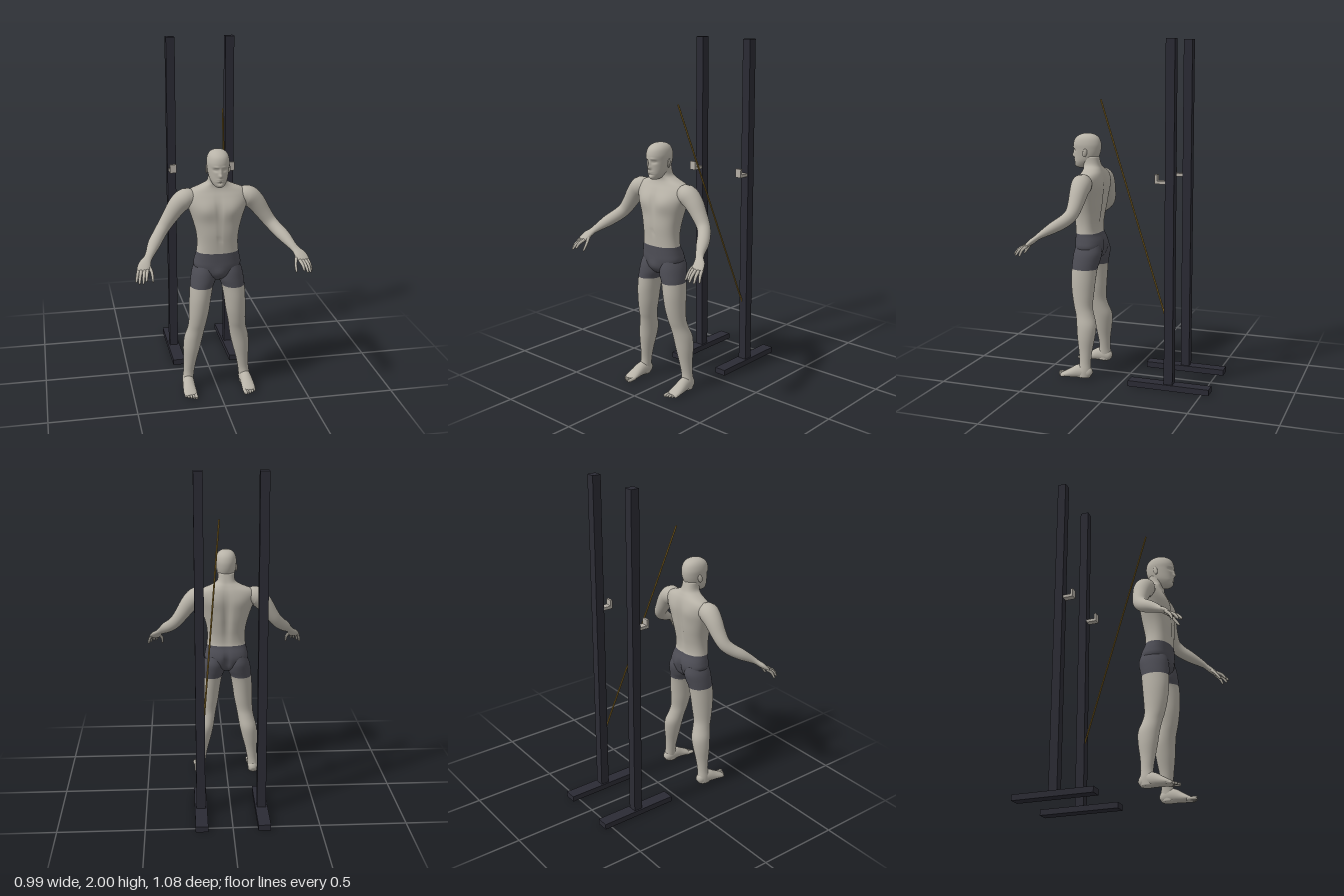
import * as THREE from 'three';

const mat = (name, color) => Object.assign(new THREE.MeshStandardMaterial({ color }), { name });
const V = (x, y, z) => new THREE.Vector3(x, y, z);

// Smooth in-between rows for a list of key rows
function smoothRows(keys, steps) {
  const rows = [];
  const last = keys.length - 1;
  for (let i = 0; i < last; i++) {
    const a = keys[Math.max(i - 1, 0)], b = keys[i], c = keys[i + 1], d = keys[Math.min(i + 2, last)];
    for (let s = 0; s < steps; s++) {
      const t = s / steps;
      rows.push(b.map((v, k) => {
        const cubic = 3 * (v - c[k]) + d[k] - a[k];
        const square = 2 * a[k] - 5 * v + 4 * c[k] - d[k];
        return v + 0.5 * t * (c[k] - a[k] + t * (square + t * cubic));
      }));
    }
  }
  rows.push(keys[last]);
  return rows;
}

// Closed skin over rings of points, capped at both ends
function skin(rings) {
  const n = rings[0].length, pos = [], index = [];
  rings.forEach(r => r.forEach(p => pos.push(p.x, p.y, p.z)));
  const ends = [rings[0], rings[rings.length - 1]].map(r => {
    const c = r.reduce((s, p) => s.add(p), V(0, 0, 0)).divideScalar(n);
    pos.push(c.x, c.y, c.z);
    return pos.length / 3 - 1;
  });
  const top = (rings.length - 1) * n;
  for (let j = 0; j < n; j++) index.push(ends[0], (j + 1) % n, j);
  for (let i = 0; i < rings.length - 1; i++) {
    for (let j = 0; j < n; j++) {
      const a = i * n + j, b = i * n + (j + 1) % n;
      index.push(a, b, a + n, b, b + n, a + n);
    }
  }
  for (let j = 0; j < n; j++) index.push(ends[1], top + j, top + (j + 1) % n);
  const g = new THREE.BufferGeometry();
  g.setAttribute('position', new THREE.Float32BufferAttribute(pos, 3));
  g.setIndex(index);
  g.computeVertexNormals();
  return g;
}

// Level cross-sections, rising: [y, xMin, xMax, zBack, zFront]
function stack(keys, sides, power = 2, steps = 4) {
  const f = v => Math.sign(v) * Math.abs(v) ** (2 / power);
  return skin(smoothRows(keys, steps).map(([y, x0, x1, z0, z1]) =>
    Array.from({ length: sides }, (_, j) => {
      const t = j / sides * Math.PI * 2;
      return V((x0 + x1) / 2 + f(Math.sin(t)) * (x1 - x0) / 2, y, (z0 + z1) / 2 + f(Math.cos(t)) * (z1 - z0) / 2);
    })));
}

// Limb along a path: [x, y, z, thickness, width], the width lying along wide
function limb(keys, wide, sides = 20) {
  const rows = smoothRows(keys, 4);
  const at = i => V(...rows[Math.min(Math.max(i, 0), rows.length - 1)].slice(0, 3));
  return skin(rows.map((r, i) => {
    const t = at(i + 1).sub(at(i - 1)).normalize();
    const v = wide.clone().addScaledVector(t, -wide.dot(t)).normalize();
    const u = t.clone().cross(v);
    return Array.from({ length: sides }, (_, j) => {
      const a = j / sides * Math.PI * 2;
      return at(i).addScaledVector(v, Math.cos(a) * r[4]).addScaledVector(u, Math.sin(a) * r[3]);
    });
  }));
}

// Soft swellings and hollows: [x, y, side (+1 front, -1 back), rx, ry, amount]
function sculpt(g, bumps, midZ) {
  const p = g.attributes.position;
  for (let i = 0; i < p.count; i++) {
    const x = Math.abs(p.getX(i)), y = p.getY(i), z0 = p.getZ(i);
    let z = z0;
    for (const [bx, by, side, rx, ry, amount] of bumps) {
      const weight = Math.min(Math.max(side * (z0 - midZ) / 0.04, 0), 1);
      const dx = (x - bx) / rx, dy = (y - by) / ry;
      z += side * weight * amount * Math.exp(-dx * dx - dy * dy);
    }
    p.setZ(i, z);
  }
  g.computeVertexNormals();
  return g;
}

function mirrored(g) {
  const m = g.clone(), p = m.attributes.position, ix = m.index;
  for (let i = 0; i < p.count; i++) p.setX(i, -p.getX(i));
  for (let i = 0; i < ix.count; i += 3) {
    const a = ix.getX(i);
    ix.setX(i, ix.getX(i + 1));
    ix.setX(i + 1, a);
  }
  m.computeVertexNormals();
  return m;
}

// Second material on the triangles between two heights
function paint(g, y0, y1) {
  const p = g.attributes.position, ix = g.index;
  for (let i = 0; i < ix.count; i += 3) {
    const y = (p.getY(ix.getX(i)) + p.getY(ix.getX(i + 1)) + p.getY(ix.getX(i + 2))) / 3;
    const m = y > y0 && y < y1 ? 1 : 0;
    const last = g.groups[g.groups.length - 1];
    if (last && last.materialIndex === m) last.count += 3;
    else g.addGroup(i, 3, m);
  }
  return g;
}

export function createModel() {
  const model = new THREE.Group();
  const skinMat = mat('skin', 0xb8b3a8), shortsMat = mat('shorts', 0x4d4d55);
  const rackMat = mat('rack', 0x2b2b34), hookMat = mat('hook', 0xb5afa6), stickMat = mat('stick', 0x97762c);
  const add = (name, g, m, parent = model) => {
    const mesh = new THREE.Mesh(g, m);
    mesh.name = name;
    parent.add(mesh);
    return mesh;
  };
  const pair = (name, g, m) => {
    add('left' + name, g, m);
    add('right' + name, mirrored(g), m);
  };
  const body = [skinMat, shortsMat];
  const centred = ([y, w, back, front]) => [y, -w, w, back, front];

  // Torso and neck
  const torso = [
    [0.70, 0.04, 0.20, 0.30], [0.73, 0.105, 0.172, 0.322], [0.78, 0.134, 0.157, 0.332], [0.82, 0.130, 0.163, 0.332],
    [0.865, 0.120, 0.183, 0.331], [0.92, 0.116, 0.183, 0.333], [0.98, 0.122, 0.173, 0.336], [1.04, 0.137, 0.163, 0.334],
    [1.10, 0.157, 0.157, 0.332], [1.15, 0.175, 0.155, 0.322], [1.19, 0.178, 0.158, 0.305], [1.22, 0.152, 0.165, 0.290],
    [1.245, 0.092, 0.176, 0.284], [1.27, 0.055, 0.188, 0.29], [1.32, 0.05, 0.20, 0.30],
  ].map(centred);
  add('torso', paint(sculpt(stack(torso, 72, 2.3), [
    [0.075, 1.12, 1, 0.055, 0.05, 0.012], [0, 1.12, 1, 0.012, 0.06, -0.008], [0, 0.945, 1, 0.008, 0.008, -0.006],
    [0, 0.98, 1, 0.01, 0.08, -0.004], [0, 1.05, -1, 0.022, 0.15, -0.016], [0.08, 1.15, -1, 0.05, 0.05, 0.006],
    [0, 0.76, -1, 0.014, 0.05, -0.022], [0, 0.745, 1, 0.035, 0.03, 0.012],
  ], 0.245), 0.5, 0.865), body);

  // Legs
  pair('Leg', paint(stack([
    [0.01, 0.140, 0.203, 0.195, 0.28], [0.05, 0.138, 0.204, 0.19, 0.272], [0.10, 0.133, 0.197, 0.194, 0.262],
    [0.17, 0.120, 0.194, 0.188, 0.27], [0.25, 0.099, 0.196, 0.175, 0.282], [0.32, 0.083, 0.190, 0.171, 0.29],
    [0.38, 0.073, 0.174, 0.19, 0.30], [0.43, 0.064, 0.167, 0.201, 0.314], [0.50, 0.050, 0.165, 0.196, 0.328],
    [0.58, 0.039, 0.163, 0.188, 0.336], [0.655, 0.025, 0.158, 0.179, 0.335], [0.70, 0.006, 0.153, 0.167, 0.334],
    [0.75, 0.004, 0.143, 0.158, 0.328], [0.80, 0.016, 0.122, 0.17, 0.312],
  ], 36), 0.655, 2), body);

  // Feet and toes
  const sideways = V(1, 0, 0);
  pair('Foot', limb([
    [0.170, 0.028, 0.186, 0.012, 0.014], [0.170, 0.034, 0.20, 0.032, 0.027], [0.170, 0.043, 0.23, 0.042, 0.033],
    [0.172, 0.042, 0.265, 0.041, 0.035], [0.174, 0.031, 0.305, 0.030, 0.037], [0.174, 0.020, 0.345, 0.019, 0.039],
    [0.172, 0.013, 0.373, 0.011, 0.034],
  ], sideways), skinMat);
  for (let i = 0; i < 5; i++) {
    const x = 0.146 + i * 0.0145, r = i ? 0.0072 : 0.0105, z = 0.404 - i * i * 0.0018;
    pair('Toe' + (i + 1), limb([
      [x, 0.014, 0.345, r, r], [x, 0.013, z - 0.012, r, r], [x, 0.010, z - 0.004, r * 0.8, r * 0.8], [x, 0.009, z, r * 0.2, r * 0.2],
    ], sideways, 10), skinMat);
  }

  // Arms with palms
  const across = V(1, 0.3, -0.45);
  pair('Arm', limb([
    [0.125, 1.165, 0.235, 0.042, 0.045], [0.175, 1.172, 0.235, 0.060, 0.058], [0.222, 1.135, 0.235, 0.054, 0.054],
    [0.268, 1.07, 0.238, 0.045, 0.044], [0.305, 1.018, 0.248, 0.039, 0.038], [0.335, 0.983, 0.277, 0.037, 0.036],
    [0.37, 0.948, 0.33, 0.033, 0.035], [0.40, 0.913, 0.385, 0.022, 0.025], [0.418, 0.893, 0.412, 0.016, 0.024],
    [0.436, 0.872, 0.437, 0.016, 0.034], [0.45, 0.850, 0.462, 0.011, 0.033], [0.453, 0.845, 0.468, 0.005, 0.028],
  ], across, 28), skinMat);

  // Fingers and thumb: base, knuckle, tip
  [
    [[0.425, 0.850, 0.470], [0.433, 0.833, 0.503], [0.438, 0.806, 0.526]],
    [[0.441, 0.848, 0.467], [0.450, 0.830, 0.507], [0.456, 0.799, 0.537]],
    [[0.457, 0.849, 0.460], [0.468, 0.828, 0.497], [0.475, 0.793, 0.522]],
    [[0.470, 0.853, 0.449], [0.481, 0.828, 0.477], [0.489, 0.792, 0.493]],
    [[0.418, 0.872, 0.437], [0.402, 0.838, 0.470], [0.399, 0.792, 0.504]],
  ].forEach(([base, knuckle, tip], i) => {
    const nearTip = tip.map((v, k) => v * 0.85 + knuckle[k] * 0.15);
    pair(i < 4 ? 'Finger' + (i + 1) : 'Thumb', limb([
      [...base, 0.0095, 0.0095], [...knuckle, 0.0085, 0.0085], [...nearTip, 0.006, 0.006], [...tip, 0.0015, 0.0015],
    ], across, 10), skinMat);
  });

  // Head with face relief
  const head = [
    [1.250, 0.016, 0.285, 0.330], [1.260, 0.030, 0.255, 0.343], [1.28, 0.043, 0.232, 0.349], [1.30, 0.051, 0.210, 0.350],
    [1.33, 0.057, 0.194, 0.351], [1.36, 0.061, 0.186, 0.353], [1.39, 0.063, 0.185, 0.355], [1.42, 0.057, 0.194, 0.346],
    [1.44, 0.044, 0.212, 0.325], [1.451, 0.025, 0.238, 0.300], [1.455, 0.003, 0.268, 0.275],
  ].map(centred);
  add('head', sculpt(stack(head, 96, 2.1, 8), [
    [0, 1.322, 1, 0.010, 0.011, 0.016], [0, 1.343, 1, 0.007, 0.016, 0.009], [0.025, 1.354, 1, 0.014, 0.009, -0.010],
    [0.024, 1.355, 1, 0.008, 0.005, 0.004], [0.022, 1.371, 1, 0.016, 0.006, 0.004], [0, 1.296, 1, 0.018, 0.008, 0.005],
    [0, 1.295, 1, 0.018, 0.002, -0.004], [0, 1.280, 1, 0.018, 0.005, -0.004], [0, 1.264, 1, 0.014, 0.009, 0.005],
  ], 0.28), skinMat);
  for (const s of [1, -1]) {
    const ear = add(s > 0 ? 'leftEar' : 'rightEar', new THREE.SphereGeometry(1, 16, 12), skinMat);
    ear.scale.set(0.006, 0.025, 0.014);
    ear.position.set(s * 0.063, 1.342, 0.262);
    ear.rotation.set(-0.2, s * 0.35, 0);
  }

  // Rack stands with bar hooks
  for (const s of [1, -1]) {
    const stand = new THREE.Group();
    stand.name = s > 0 ? 'leftStand' : 'rightStand';
    model.add(stand);
    const box = (name, w, h, d, y, z, m) =>
      add(name, new THREE.BoxGeometry(w, h, d), m, stand).position.set(s * 0.178, y, z);
    box('base', 0.072, 0.034, 0.485, 0.017, -0.30, rackMat);
    box('post', 0.052, 1.966, 0.052, 1.017, -0.30, rackMat);
    box('hookShelf', 0.04, 0.018, 0.064, 1.207, -0.243, hookMat);
    box('hookLip', 0.04, 0.05, 0.014, 1.225, -0.218, hookMat);
  }

  // Leaning stick
  const low = V(0.168, 0.41, -0.277), high = V(0.046, 1.655, 0.166);
  const dir = high.clone().sub(low);
  const stick = add('stick', new THREE.CylinderGeometry(0.005, 0.005, dir.length(), 12), stickMat);
  stick.position.copy(low).add(high).multiplyScalar(0.5);
  stick.quaternion.setFromUnitVectors(V(0, 1, 0), dir.normalize());
  return model;
}
